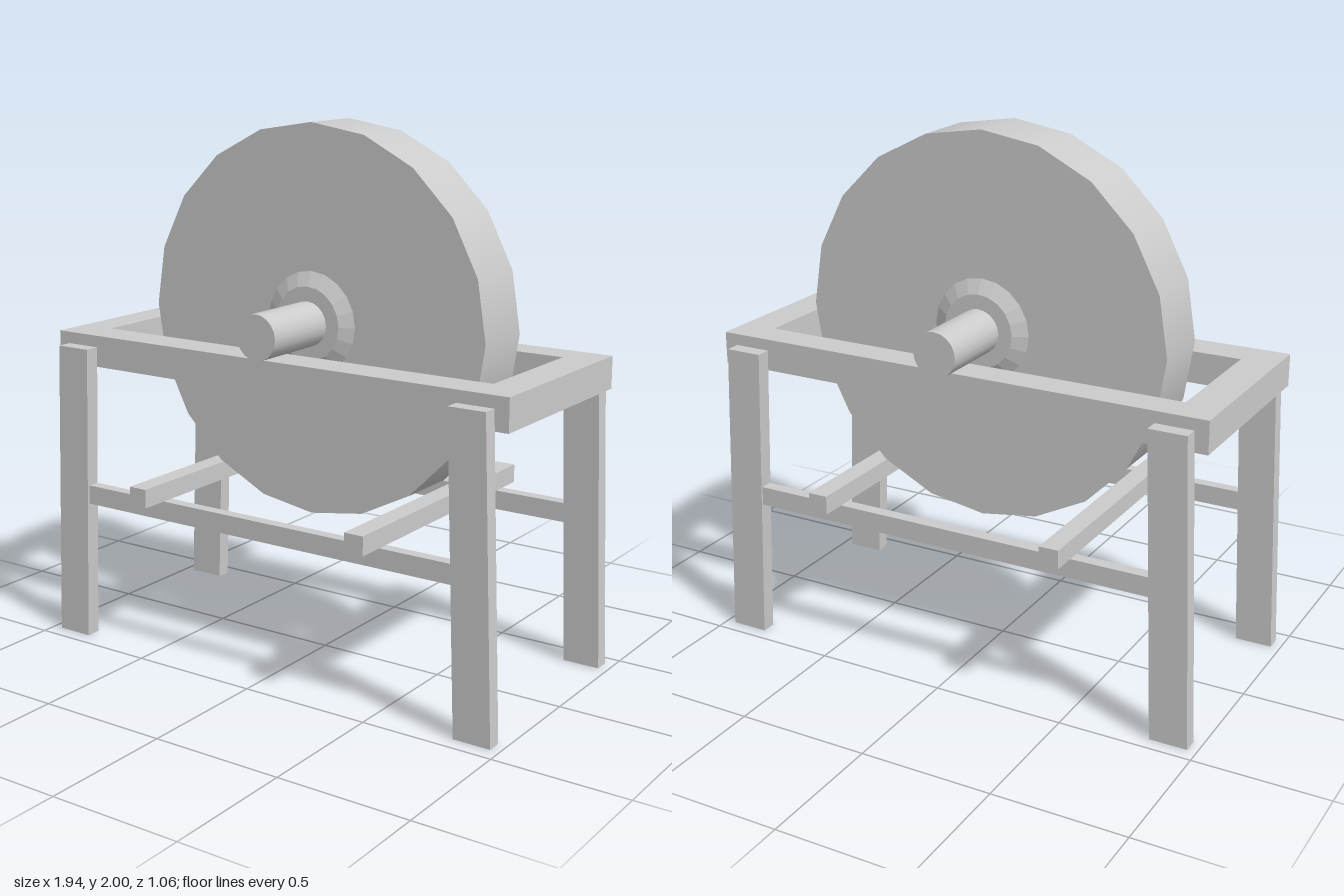
import * as THREE from 'three';

export function createModel() {
  const group = new THREE.Group();
  const material = new THREE.MeshStandardMaterial({ color: 0xcccccc });
  const flatMaterial = new THREE.MeshStandardMaterial({ color: 0xcccccc, flatShading: true });

  const add = (name, geometry, mat = material) => {
    const mesh = new THREE.Mesh(geometry, mat);
    mesh.name = name;
    group.add(mesh);
    return mesh;
  };

  // Box given by its extents along each axis
  const box = (name, [x0, x1], [y0, y1], [z0, z1]) =>
    add(name, new THREE.BoxGeometry(x1 - x0, y1 - y0, z1 - z0))
      .position.set((x0 + x1) / 2, (y0 + y1) / 2, (z0 + z1) / 2);

  // Cylinder lying along z on the wheel's axis
  const axisX = 0.005, axisY = 1.281;
  const disc = (name, rFront, rBack, zBack, zFront, sides, mat) =>
    add(name, new THREE.CylinderGeometry(rFront, rBack, zFront - zBack, sides).rotateX(Math.PI / 2), mat)
      .position.set(axisX, axisY, (zBack + zFront) / 2);

  // Grinding wheel, tapered hubs and axle
  disc('wheel', 0.72, 0.72, -0.148, 0.097, 20);
  disc('frontHub', 0.137, 0.19, 0.097, 0.124, 20, flatMaterial);
  disc('backHub', 0.19, 0.137, -0.176, -0.148, 20, flatMaterial);
  disc('axle', 0.083, 0.083, -0.481, 0.433, 20);

  // Rectangular top frame with an open middle
  const rectangle = (shape, x, z0, z1) => {
    shape.moveTo(-x, z0);
    shape.lineTo(x, z0);
    shape.lineTo(x, z1);
    shape.lineTo(-x, z1);
    shape.closePath();
    return shape;
  };
  const frameShape = rectangle(new THREE.Shape(), 0.971, -0.389, 0.379);
  frameShape.holes.push(rectangle(new THREE.Path(), 0.836, -0.266, 0.24));
  // Shape y becomes z once the slab is laid flat
  const frameGeometry = new THREE.ExtrudeGeometry(frameShape, { depth: 0.12, bevelEnabled: false });
  add('topFrame', frameGeometry.rotateX(Math.PI / 2)).position.y = 1.19;

  // Splayed legs and the long stretchers between them
  for (const [end, z0, z1, s0, s1] of [
    ['front', 0.384, 0.44, 0.386, 0.43],
    ['back', -0.446, -0.389, -0.439, -0.391],
  ]) {
    for (const [hand, side] of [['Left', 1], ['Right', -1]]) {
      const leg = new THREE.Shape([[0.822, 0], [0.965, 0], [0.92, 1.147], [0.779, 1.147]]
        .map(([x, y]) => new THREE.Vector2(side * x, y)));
      const geometry = new THREE.ExtrudeGeometry(leg, { depth: z1 - z0, bevelEnabled: false });
      add(`${end}${hand}Leg`, geometry).position.z = z0;
    }
    box(`${end}Stretcher`, [-0.82, 0.82], [0.54, 0.613], [s0, s1]);
  }

  // Crossbars resting on the stretchers
  box('leftCrossbar', [0.441, 0.517], [0.613, 0.683], [-0.532, 0.532]);
  box('rightCrossbar', [-0.504, -0.43], [0.613, 0.683], [-0.532, 0.532]);

  return group;
}
